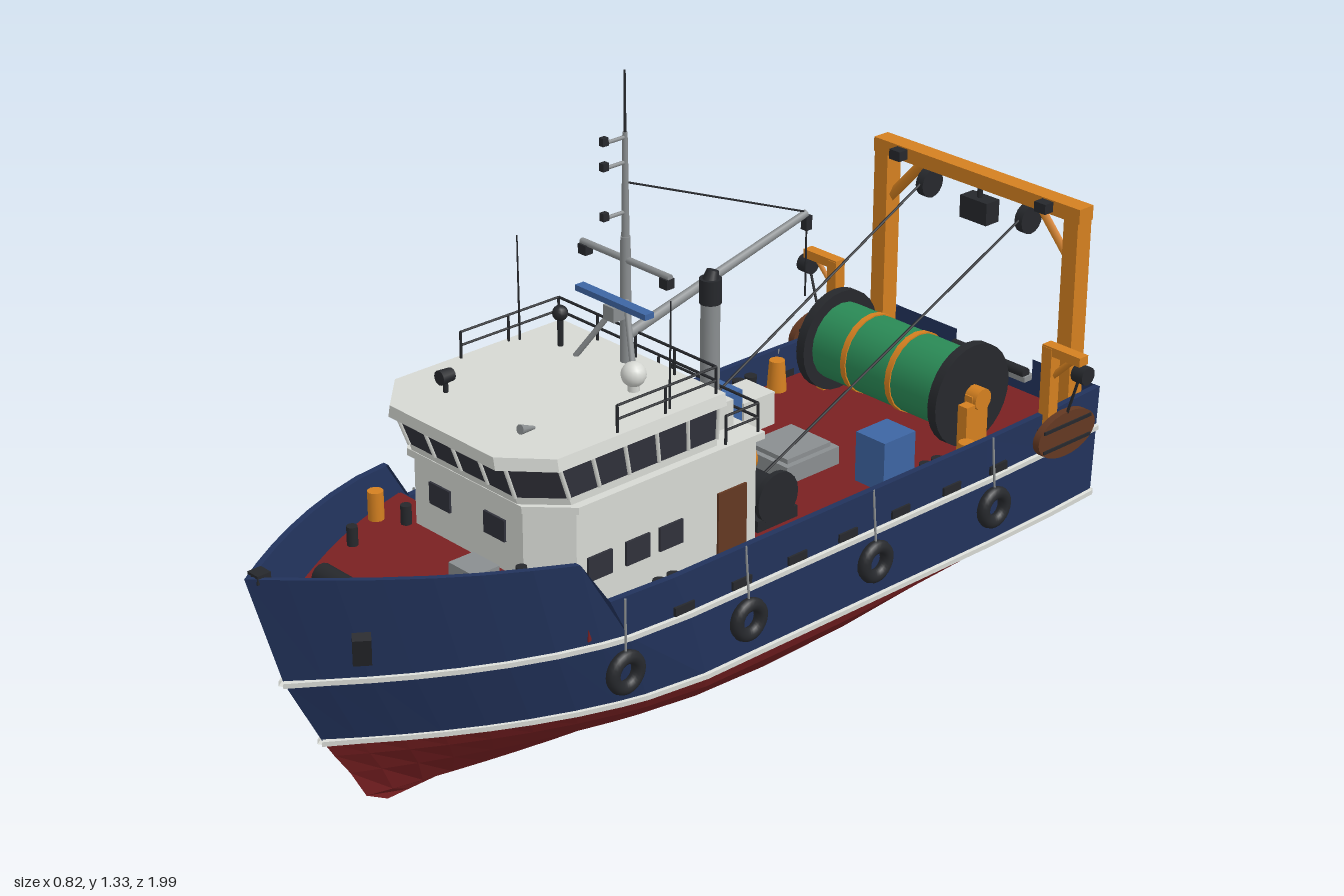
import * as THREE from 'three';
import { ConvexGeometry } from 'three/addons/geometries/ConvexGeometry.js';

const V = (x, y, z) => new THREE.Vector3(x, y, z);
const colours = {
  navy: 0x22335c, red: 0x7a2022, white: 0xd6d8d3, grey: 0x8a8e90, black: 0x26282c,
  orange: 0xd48020, green: 0x2a8a56, blue: 0x3d65a3, brown: 0x633822, glass: 0x30313a,
};

export function createModel() {
  const root = new THREE.Group();
  root.name = 'trawler';
  const M = {};
  for (const k in colours) {
    M[k] = new THREE.MeshStandardMaterial({ color: colours[k] });
    M[k].name = k;
  }
  for (const k of ['navy', 'red', 'white']) M[k].side = THREE.DoubleSide;

  const add = (name, mat, geo, x = 0, y = 0, z = 0) => {
    const m = new THREE.Mesh(geo, M[mat]);
    m.name = name;
    m.position.set(x, y, z);
    root.add(m);
    return m;
  };
  const box = (name, mat, w, h, d, x, y, z) => add(name, mat, new THREE.BoxGeometry(w, h, d), x, y, z);
  const bar = (name, mat, a, b, r, r2 = r, n = 8) => {
    const d = b.clone().sub(a), m = add(name, mat, new THREE.CylinderGeometry(r2, r, d.length(), n));
    m.position.copy(a).add(b).multiplyScalar(0.5);
    m.quaternion.setFromUnitVectors(V(0, 1, 0), d.normalize());
    return m;
  };
  const drum = (name, mat, r, x0, x1, y, z, n = 24) => bar(name, mat, V(x0, y, z), V(x1, y, z), r, r, n);

  // Hull rows: half width, stem position, start of bow taper and height along z
  const interp = (pts, z) => {
    for (let i = 1; i < pts.length; i++) if (z <= pts[i][0]) {
      const [a, b] = [pts[i - 1], pts[i]];
      return a[1] + (b[1] - a[1]) * Math.max(0, (z - a[0]) / (b[0] - a[0]));
    }
    return pts[pts.length - 1][1];
  };
  const keel = [[-0.99, 0.17], [-0.83, 0.155], [-0.62, 0.095], [-0.4, 0.045], [-0.2, 0.02], [1, 0.014]];
  const sheer = [[-0.99, 0.45], [0.4, 0.45], [0.46, 0.545], [1, 0.597]];
  const row = (w, stem, z0, y) => ({ w, stem, z0, y: typeof y === 'number' ? () => y : y });
  const under = (f, w, stem, z0) => row(w, stem, z0, z => { const k = interp(keel, z); return k + (0.2 - k) * f; });
  const halfW = (r, z) => {
    const t = Math.max(0, (z - r.z0) / (r.stem - r.z0)), s = Math.max(0, (-0.6 - z) / 0.39);
    return r.w * (1 - 0.05 * s * s) * (1 - Math.pow(Math.min(1, t), 1.75));
  };
  const stations = [-0.99, -0.83, -0.62, -0.4, -0.2, 0.05, 0.25, 0.4, 0.46, 0.55, 0.64, 0.72, 0.8, 0.87, 0.94, 1];
  const point = (r, st, s, out = 0) => {
    const z = -0.99 + (r.stem + 0.99) * (st + 0.99) / 1.99;
    return [s * (halfW(r, z) + out), r.y(z), z + (st === 1 ? out : 0)];
  };
  // Surface through a grid of points, faceted
  const grid = rows => {
    const p = [], idx = [], n = rows[0].length;
    rows.forEach(r => r.forEach(q => p.push(...q)));
    for (let j = 0; j < rows.length - 1; j++) for (let i = 0; i < n - 1; i++) {
      const a = j * n + i;
      idx.push(a, a + 1, a + n + 1, a, a + n + 1, a + n);
    }
    let g = new THREE.BufferGeometry();
    g.setAttribute('position', new THREE.Float32BufferAttribute(p, 3));
    g.setIndex(idx);
    g = g.toNonIndexed();
    g.computeVertexNormals();
    return g;
  };
  const waterline = row(0.302, 0.845, 0.15, 0.2), belt = row(0.308, 0.925, 0.25, 0.355);
  const rail = row(0.312, 0.998, 0.3, z => interp(sheer, z));
  const bottom = [under(0, 0, 0.7, 0), under(0.15, 0.13, 0.75, -0.1), under(0.5, 0.24, 0.785, 0),
    under(0.78, 0.285, 0.82, 0.1), waterline];
  const line = (r, s, out = 0, dy = 0) => stations.map(st => {
    const q = point(r, st, s, out); q[1] += dy; return q;
  });
  for (const s of [1, -1]) {
    add('hullBottom', 'red', grid(bottom.map(r => line(r, s))));
    add('hullTopsides', 'navy', grid([waterline, belt, rail].map(r => line(r, s))));
    for (const r of [waterline, belt])
      add('hullStripe', 'white', grid([[0, -0.007], [0.007, -0.005], [0.007, 0.005], [0, 0.007]].map(([o, d]) => line(r, s, o, d))));
    const inner = line(rail, s, -0.014).map(q => [s * Math.max(0, s * q[0]), q[1], q[2]]);
    add('bulwarkCap', 'navy', grid([line(rail, s), inner]));
  }
  // Transom with a centre notch
  const flat = (name, mat, pts) => add(name, mat, new THREE.ShapeGeometry(new THREE.Shape(pts.map(p => new THREE.Vector2(p[0], p[1])))), 0, 0, -0.989);
  const low = bottom.map(r => point(r, -0.99, 1));
  flat('transomBottom', 'red', [...low, ...low.slice(1).reverse().map(p => [-p[0], p[1]])]);
  const up = [waterline, belt, rail].map(r => point(r, -0.99, 1));
  flat('transom', 'navy', [...up, [0.11, 0.45], [0.11, 0.405], [-0.11, 0.405], [-0.11, 0.45], ...up.reverse().map(p => [-p[0], p[1]])]);
  box('transomStripe', 'white', 0.58, 0.012, 0.008, 0, 0.2, -0.991);
  box('sternRollerBed', 'grey', 0.22, 0.012, 0.03, 0, 0.408, -0.98);
  drum('sternRoller', 'black', 0.012, -0.105, 0.105, 0.42, -0.975, 12);

  // Decks
  const deck = (name, r, z0, z1, y) => {
    const zs = Array.from({ length: 13 }, (_, i) => z0 + (z1 - z0) * i / 12);
    add(name, 'red', grid([-1, 1].map(s => zs.map(z => [s * Math.max(0, halfW(r, z) - 0.004), y, z]))));
  };
  deck('mainDeck', belt, -0.985, 0.44, 0.37);
  deck('foreDeck', row(0.31, 0.96, 0.27, 0), 0.43, 0.95, 0.47);
  box('deckStep', 'red', 0.56, 0.1, 0.008, 0, 0.42, 0.43);

  // Skeg, rudder and propeller
  const skeg = new THREE.Shape([[0.2, 0.008], [0.83, 0], [0.83, 0.17], [0.6, 0.11], [0.2, 0.03]].map(p => new THREE.Vector2(...p)));
  add('skeg', 'red', new THREE.ExtrudeGeometry(skeg, { depth: 0.026, bevelEnabled: false }), 0.013).rotation.y = Math.PI / 2;
  root.children.at(-1).position.x = -0.013;
  box('heelShoe', 'red', 0.024, 0.01, 0.18, 0, 0.005, -0.9);
  box('rudder', 'red', 0.018, 0.165, 0.07, 0, 0.088, -0.945);
  bar('propellerShaft', 'orange', V(0, 0.08, -0.82), V(0, 0.08, -0.895), 0.012);
  for (let i = 0; i < 4; i++) {
    const b = add('propellerBlade', 'orange', new THREE.SphereGeometry(1, 10, 6), 0, 0.08, -0.87), a = i * Math.PI / 2;
    b.scale.set(0.016, 0.029, 0.005);
    b.position.x += Math.sin(a) * 0.033;
    b.position.y += Math.cos(a) * 0.033;
    b.rotation.set(0, 0.4, -a, 'ZYX');
  }

  // Deckhouse and wheelhouse, with chamfered front corners
  const outline = (y, zA, zF, w, c, cz) => [[w, zA], [w, zF - cz], [w - c, zF], [-w + c, zF], [-w, zF - cz], [-w, zA]].map(([x, z]) => V(x, y, z));
  const prism = (name, mat, a, b) => add(name, mat, new ConvexGeometry([...a, ...b]));
  prism('deckhouse', 'white', outline(0.37, -0.045, 0.485, 0.228, 0.07, 0.07), outline(0.62, -0.045, 0.485, 0.228, 0.07, 0.07));
  prism('deckhouseRoof', 'white', outline(0.615, -0.055, 0.495, 0.242, 0.075, 0.075), outline(0.63, -0.055, 0.495, 0.242, 0.075, 0.075));
  const sill = outline(0.645, 0.055, 0.498, 0.224, 0.07, 0.07), head = outline(0.718, 0.055, 0.525, 0.228, 0.07, 0.07);
  prism('wheelhouseBase', 'white', outline(0.625, 0.055, 0.492, 0.224, 0.07, 0.07), sill);
  prism('wheelhouseWindows', 'glass', sill, head);
  prism('wheelhouseRoof', 'white', outline(0.716, 0.045, 0.545, 0.24, 0.085, 0.08), outline(0.741, 0.045, 0.545, 0.235, 0.085, 0.08));
  [5, 1, 4, 1, 5, 4].forEach((n, e) => {
    for (let i = 0; i < n; i++) {
      const f = i / n, k = (e + 1) % 6;
      bar('windowPost', 'white', sill[e].clone().lerp(sill[k], f), head[e].clone().lerp(head[k], f), 0.005, 0.005, 4);
    }
  });
  for (const s of [1, -1]) {
    for (const z of [0.36, 0.265, 0.18]) box('cabinWindow', 'glass', 0.008, 0.05, 0.06, s * 0.229, 0.485, z);
    box('sideDoor', 'brown', 0.008, 0.15, 0.075, s * 0.229, 0.455, 0.02);
    box('frontCabinWindow', 'glass', 0.06, 0.045, 0.008, s * 0.08, 0.555, 0.486);
  }
  box('aftDoor', 'brown', 0.075, 0.17, 0.008, 0.1, 0.46, -0.046);
  box('wheelhouseDoor', 'brown', 0.06, 0.085, 0.008, -0.03, 0.672, 0.052);
  add('lifeRing', 'orange', new THREE.TorusGeometry(0.024, 0.007, 8, 20), 0.19, 0.56, -0.055);
  for (const x of [-0.07, -0.03]) bar('ladderRail', 'black', V(x, 0.37, -0.065), V(x, 0.68, -0.065), 0.003);
  for (let i = 0; i < 8; i++) drum('ladderRung', 'black', 0.0025, -0.07, -0.03, 0.4 + i * 0.032, -0.065, 6);
  drum('lifeRaft', 'white', 0.03, -0.215, -0.135, 0.665, 0.0, 16);

  // Handrails on both roofs
  const handrail = (pts, h) => pts.forEach((p, i) => {
    bar('railPost', 'black', p, p.clone().add(V(0, h, 0)), 0.003, 0.003, 6);
    if (i) for (const f of [0.5, 1]) bar('railBar', 'black', pts[i - 1].clone().add(V(0, h * f, 0)), p.clone().add(V(0, h * f, 0)), 0.0028, 0.0028, 6);
  });
  handrail([[0.225, 0.31], [0.225, 0.19], [0.225, 0.06], [0.11, 0.06], [0, 0.06], [-0.11, 0.06], [-0.225, 0.06], [-0.225, 0.19], [-0.225, 0.31]].map(([x, z]) => V(x, 0.74, z)), 0.056);
  handrail([[0.232, 0.04], [0.232, -0.045], [0.1, -0.045], [-0.01, -0.045]].map(([x, z]) => V(x, 0.63, z)), 0.06);

  // Funnel
  box('funnelBase', 'white', 0.07, 0.06, 0.06, 0.145, 0.655, 0);
  bar('funnel', 'grey', V(0.145, 0.63, 0), V(0.145, 0.9, 0), 0.019, 0.019, 16);
  bar('funnelCap', 'black', V(0.145, 0.885, 0), V(0.145, 0.935, 0), 0.022, 0.022, 16);
  bar('exhaustTip', 'black', V(0.145, 0.93, 0), V(0.145, 0.95, -0.006), 0.017, 0.012, 12);

  // Mast, boom and aerials
  bar('mast', 'grey', V(0, 0.74, 0.085), V(0, 1.0, 0.085), 0.012, 0.01, 12);
  bar('topMast', 'grey', V(0, 1.0, 0.085), V(0, 1.21, 0.085), 0.008, 0.005);
  bar('mastAerial', 'black', V(0, 1.21, 0.085), V(0, 1.332, 0.085), 0.003, 0.002, 6);
  for (const s of [1, -1]) {
    bar('mastLeg', 'grey', V(s * 0.085, 0.74, 0.14), V(0, 0.88, 0.085), 0.006);
    box('crosstreeLamp', 'black', 0.022, 0.02, 0.02, s * 0.115, 0.94, 0.085);
    bar('whipAerial', 'black', V(s * 0.215, 0.74, 0.17), V(s * 0.218, 0.96, 0.17), 0.0025, 0.0015, 6);
  }
  drum('crosstree', 'grey', 0.007, -0.125, 0.125, 0.953, 0.085, 8);
  box('radarScanner', 'blue', 0.2, 0.012, 0.022, 0, 0.875, 0.115);
  box('radarMount', 'grey', 0.03, 0.03, 0.04, 0, 0.853, 0.11);
  for (const y of [1.05, 1.15, 1.2]) {
    bar('lampArm', 'grey', V(0, y, 0.085), V(0, y, 0.14), 0.004);
    box('mastLamp', 'black', 0.012, 0.016, 0.014, 0, y + 0.004, 0.138);
  }
  bar('boom', 'grey', V(0, 0.795, 0.08), V(0, 0.915, -0.4), 0.011, 0.008, 10);
  bar('boomStay', 'black', V(0, 1.11, 0.085), V(0, 0.918, -0.4), 0.002, 0.002, 6);
  box('boomBlock', 'black', 0.016, 0.03, 0.016, 0, 0.895, -0.402);
  bar('boomFall', 'black', V(0, 0.895, -0.402), V(0, 0.735, -0.402), 0.002, 0.002, 6);

  // Roof fittings
  bar('searchlightPost', 'black', V(-0.125, 0.74, 0.43), V(-0.125, 0.765, 0.43), 0.005);
  bar('searchlight', 'black', V(-0.125, 0.774, 0.415), V(-0.125, 0.774, 0.445), 0.013, 0.015, 12);
  bar('horn', 'grey', V(0.12, 0.75, 0.42), V(0.12, 0.757, 0.455), 0.003, 0.01, 10);
  bar('domePost', 'white', V(0.11, 0.74, 0.165), V(0.11, 0.76, 0.165), 0.012);
  add('satelliteDome', 'white', new THREE.SphereGeometry(0.025, 16, 10), 0.11, 0.775, 0.165);
  bar('compassPost', 'black', V(-0.14, 0.74, 0.13), V(-0.14, 0.8, 0.13), 0.006);
  add('compass', 'black', new THREE.SphereGeometry(0.016, 12, 8), -0.14, 0.81, 0.13);

  // Stern gantry
  box('gantryBeam', 'orange', 0.58, 0.032, 0.042, 0, 0.855, -0.92);
  box('gantryBlock', 'black', 0.075, 0.05, 0.04, 0, 0.785, -0.92);
  bar('blockHanger', 'black', V(0, 0.8, -0.92), V(0, 0.845, -0.92), 0.006);
  for (const s of [1, -1]) {
    box('gantryLeg', 'orange', 0.038, 0.48, 0.042, s * 0.268, 0.61, -0.92);
    bar('gantryBrace', 'orange', V(s * 0.26, 0.735, -0.92), V(s * 0.16, 0.845, -0.92), 0.012, 0.012, 4);
    drum('warpPulley', 'black', 0.032, s * 0.14 - 0.01, s * 0.14 + 0.01, 0.805, -0.915, 16);
    box('floodlight', 'black', 0.03, 0.022, 0.025, s * 0.205, 0.858, -0.885);
    bar('warp', 'black', V(s * 0.125, 0.45, -0.15), V(s * 0.14, 0.815, -0.9), 0.0028, 0.0028, 6);

    // Side davit with hanging trawl door
    box('davitPost', 'orange', 0.026, 0.235, 0.028, s * 0.309, 0.485, -0.81);
    box('davitArm', 'orange', 0.1, 0.02, 0.026, s * 0.346, 0.596, -0.81);
    bar('davitBrace', 'orange', V(s * 0.315, 0.535, -0.81), V(s * 0.37, 0.59, -0.81), 0.007, 0.007, 4);
    drum('davitPulley', 'black', 0.02, s * 0.395 - 0.015, s * 0.395 + 0.015, 0.567, -0.81, 16);
    bar('doorChain', 'black', V(s * 0.388, 0.56, -0.81), V(s * 0.358, 0.46, -0.81), 0.003, 0.003, 6);
    const door = drum('trawlDoor', 'brown', 1, s * 0.355 - 0.008, s * 0.355 + 0.008, 0.422, -0.81, 28);
    door.scale.set(0.05, 1, 0.088);
    for (const dy of [-0.022, 0.022]) box('doorStrap', 'black', 0.022, 0.007, 0.145, s * 0.355, 0.422 + dy, -0.81);

    // Tyre fenders on ropes
    for (const z of [0.37, 0.06, -0.29, -0.64]) {
      const x = s * (z > 0.3 ? 0.312 : 0.322);
      add('tyreFender', 'black', new THREE.TorusGeometry(0.032, 0.014, 10, 24), x, 0.295, z).rotation.y = Math.PI / 2;
      bar('fenderRope', 'grey', V(x, 0.33, z), V(s * 0.311, 0.45, z), 0.0025, 0.0025, 6);
    }
    // Freeing ports, bollards, hawse plates
    for (const z of [0.22, 0.07, -0.08, -0.22, -0.37, -0.52, -0.66]) box('freeingPort', 'black', 0.007, 0.018, 0.05, s * 0.3105, 0.375, z);
    for (const z of [0.23, -0.5]) for (const d of [-0.018, 0.018]) bar('bollard', 'black', V(s * 0.272, 0.37, z + d), V(s * 0.272, 0.43, z + d), 0.012, 0.014, 12);
    bar('capstan', 'orange', V(s * 0.275, 0.37, -0.6), V(s * 0.275, 0.44, -0.6), 0.022, 0.017, 14);
    const hawse = box('anchorPocket', 'black', 0.035, 0.065, 0.022, s * 0.102, 0.43, 0.822);
    hawse.rotation.set(0.3, s * 0.95, 0, 'YXZ');
    for (const z of [0.5, 0.63]) bar('bowBollard', 'black', V(s * 0.17, 0.47, z), V(s * 0.17, 0.51, z), 0.011, 0.011, 12);

    // Net drum flanges and stands
    drum('drumFlange', 'black', 0.112, s * 0.19 - 0.011, s * 0.19 + 0.011, 0.49, -0.695, 28);
    box('drumStand', 'orange', 0.02, 0.13, 0.05, s * 0.213, 0.435, -0.695);
  }

  // Net drum
  drum('netDrum', 'green', 0.086, -0.18, 0.18, 0.49, -0.695, 20);
  for (const x of [-0.087, 0.042]) drum('netBand', 'orange', 0.089, x - 0.007, x + 0.007, 0.49, -0.695, 20);
  drum('drumMotor', 'orange', 0.024, 0.2, 0.232, 0.49, -0.695, 14);
  box('drumControl', 'orange', 0.025, 0.13, 0.025, 0.24, 0.435, -0.635);

  // Trawl winch
  box('winchBed', 'black', 0.36, 0.025, 0.11, 0, 0.383, -0.155);
  for (const s of [1, -1]) {
    drum('winchDrum', 'black', 0.036, s * 0.05, s * 0.17, 0.43, -0.155, 18);
    for (const x of [0.045, 0.175]) drum('winchFlange', 'black', 0.055, s * x - 0.006, s * x + 0.006, 0.43, -0.155, 20);
  }
  box('winchGearbox', 'grey', 0.06, 0.07, 0.07, 0, 0.42, -0.155);

  // Deck cargo and hatch
  box('hatchCoaming', 'grey', 0.14, 0.04, 0.15, 0, 0.39, -0.365);
  box('hatchLid', 'grey', 0.115, 0.012, 0.125, 0, 0.414, -0.365);
  box('fishBox', 'white', 0.086, 0.075, 0.09, -0.198, 0.408, -0.43);
  box('fishBox', 'blue', 0.086, 0.11, 0.1, -0.198, 0.425, -0.33);
  box('fishBox', 'blue', 0.08, 0.11, 0.09, 0.185, 0.425, -0.455);
  add('mooringCoil', 'orange', new THREE.TorusGeometry(0.026, 0.005, 6, 20), 0.255, 0.376, -0.555).rotation.x = Math.PI / 2;

  // Foredeck gear
  drum('windlass', 'black', 0.024, -0.06, 0.06, 0.505, 0.785, 14);
  box('windlassBase', 'black', 0.07, 0.035, 0.05, 0, 0.487, 0.785);
  box('foreLocker', 'grey', 0.075, 0.05, 0.06, 0.118, 0.495, 0.57);
  bar('deckVent', 'orange', V(-0.225, 0.47, 0.53), V(-0.225, 0.53, 0.53), 0.016, 0.016, 12);
  box('stemFairlead', 'black', 0.03, 0.018, 0.03, 0, 0.592, 0.965);
  return root;
}
